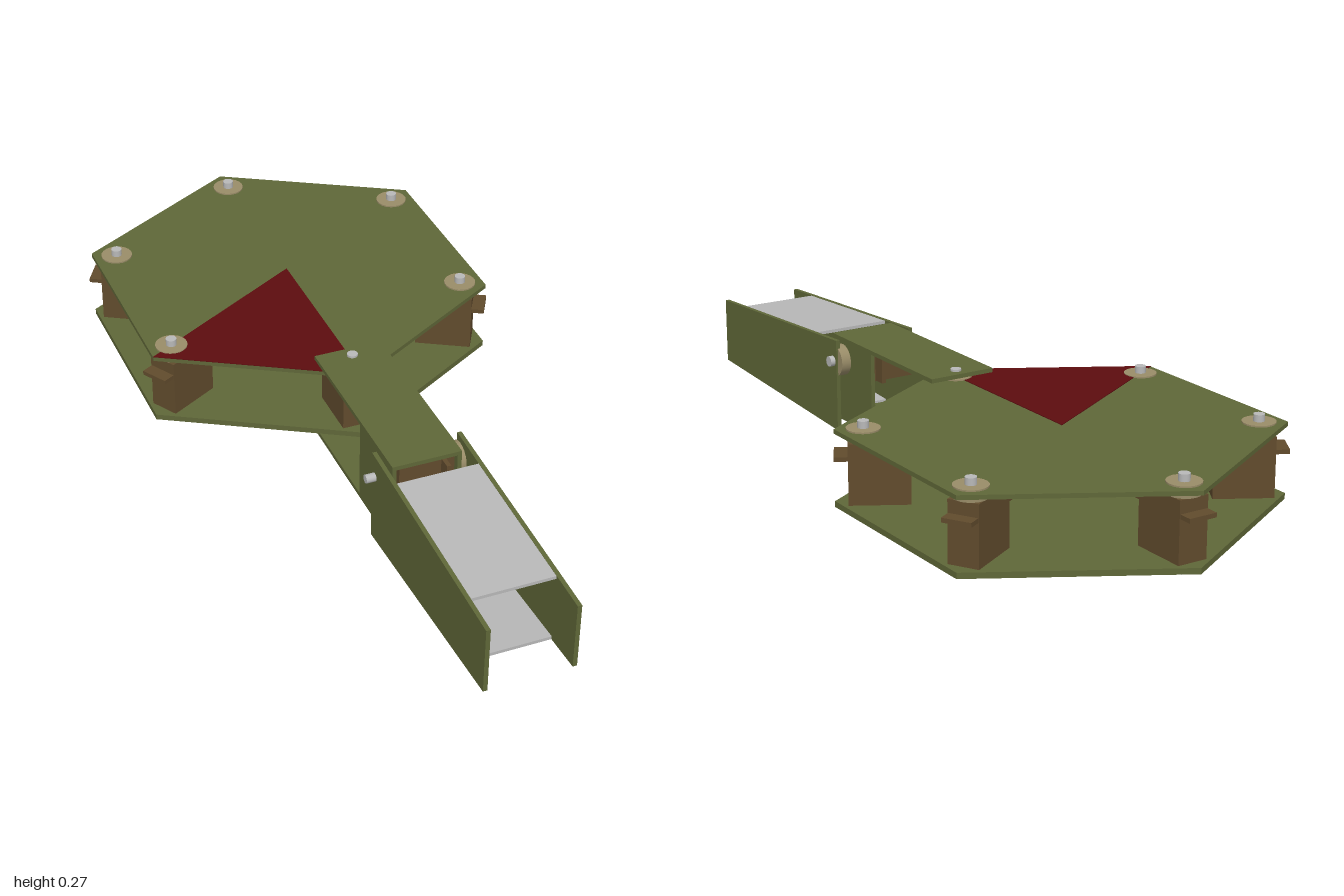
import * as THREE from 'three';

const paint = (name, color, side = THREE.FrontSide) => {
  const m = new THREE.MeshStandardMaterial({ color, side });
  m.name = name;
  return m;
};

export function createModel() {
  const olive = paint('olive', 0x5f6738);
  const red = paint('dark red', 0x5c0d0f);
  const brown = paint('brown', 0x614b2d);
  const tan = paint('tan', 0x998c68);
  const steel = paint('steel', 0xb8b8b8);

  const model = new THREE.Group();
  model.name = 'walkingRobot';

  const add = (parent, name, geometry, material, x = 0, y = 0, z = 0) => {
    const mesh = new THREE.Mesh(geometry, material);
    mesh.name = name;
    mesh.position.set(x, y, z);
    parent.add(mesh);
    return mesh;
  };
  // box given by its limits on each axis
  const box = (parent, name, material, [x0, x1], [y0, y1], [z0, z1]) =>
    add(parent, name, new THREE.BoxGeometry(x1 - x0, y1 - y0, z1 - z0), material,
      (x0 + x1) / 2, (y0 + y1) / 2, (z0 + z1) / 2);
  const rod = (parent, name, material, r, y0, y1) =>
    add(parent, name, new THREE.CylinderGeometry(r, r, y1 - y0, 20), material, 0, (y0 + y1) / 2, 0);

  // servo: output axis along +y at the origin, body trailing towards -x
  const makeServo = (name, tail) => {
    const s = new THREE.Group();
    s.name = name;
    box(s, 'servoBody', brown, [-0.12, 0.04], [0, 0.165], [-0.042, 0.042]);
    box(s, 'servoEars', brown, [-0.155, 0.076], [0.118, 0.13], [-0.04, 0.04]);
    rod(s, 'servoHorn', tan, 0.045, 0.165, 0.196);
    rod(s, 'hornScrew', steel, 0.015, 0.19, 0.215);
    rod(s, 'pivotBolt', steel, 0.012, -tail, 0);
    return s;
  };

  // hexagonal body
  const body = new THREE.Group();
  body.name = 'body';
  body.position.set(-0.18, 0, -0.475);
  model.add(body);
  const R = 0.58;
  for (const [name, y0, y1] of [['bottomPlate', 0.042, 0.058], ['topPlate', 0.24, 0.252]]) {
    const geo = new THREE.CylinderGeometry(R, R, y1 - y0, 6, 1, false, Math.PI / 2).toNonIndexed();
    geo.computeVertexNormals();
    add(body, name, geo, olive, 0, (y0 + y1) / 2, 0);
  }

  // red front sector
  const sector = new THREE.Shape([[0, 0], [-R / 2, -R * 0.866], [R / 2, -R * 0.866]]
    .map(([x, y]) => new THREE.Vector2(x, y)));
  const sectorGeo = new THREE.ExtrudeGeometry(sector, { depth: 0.002, bevelEnabled: false });
  sectorGeo.rotateX(-Math.PI / 2);
  add(body, 'frontMarker', sectorGeo, red, 0, 0.252, 0);

  // six hip servos, one in each corner
  for (let i = 0; i < 6; i++) {
    const a = i * Math.PI / 3;
    const s = makeServo('hipServo', 0.04);
    s.position.set(0.505 * Math.cos(a), 0.06, 0.505 * Math.sin(a));
    s.rotation.y = -a;
    body.add(s);
  }

  // leg: local +x points outwards, origin on the hip axis
  const leg = new THREE.Group();
  leg.name = 'leg';
  leg.position.set(0.0725, 0, -0.038);
  leg.rotation.y = -Math.PI / 3;
  model.add(leg);

  // hip bracket
  const w = 0.0975;
  box(leg, 'hipTopPlate', olive, [-0.034, 0.508], [0.257, 0.269], [-w, w]);
  box(leg, 'hipBottomPlate', olive, [-0.034, 0.508], [0.02, 0.032], [-w, w]);
  for (const s of [-1, 1]) {
    const z = [s * w, s * (w - 0.012)].sort((a, b) => a - b);
    box(leg, 'hipSidePlate', olive, [0.292, 0.508], [0.032, 0.257], z);
  }

  // knee servo lying on its side
  const knee = makeServo('kneeServo', 0.078);
  knee.position.set(0.45, 0.205, 0.07);
  knee.rotation.x = -Math.PI / 2;
  leg.add(knee);

  // tapered side plates of the outer leg
  const midY = 0.135, u0 = 0.43, u1 = 1.126, h0 = 0.134, h1 = 0.096;
  const side = new THREE.Shape([[u0, midY - h0], [u1, midY - h1], [u1, midY + h1], [u0, midY + h0]]
    .map(([x, y]) => new THREE.Vector2(x, y)));
  const sideGeo = new THREE.ExtrudeGeometry(side, { depth: 0.012, bevelEnabled: false });
  add(leg, 'outerLegPlate', sideGeo, olive, 0, 0, -0.131);
  add(leg, 'outerLegPlate', sideGeo, olive, 0, 0, 0.109);

  // sloping upper and lower panels between them
  const half = u => h0 + (h1 - h0) * (u - u0) / (u1 - u0) - 0.001;
  for (const s of [1, -1]) {
    const a = 0.563, b = 1.012, t = 0.009;
    const panel = new THREE.Shape([
      [a, midY + s * half(a)], [b, midY + s * half(b)],
      [b, midY + s * (half(b) - t)], [a, midY + s * (half(a) - t)],
    ].map(([x, y]) => new THREE.Vector2(x, y)));
    add(leg, s > 0 ? 'upperPanel' : 'lowerPanel',
      new THREE.ExtrudeGeometry(panel, { depth: 0.228, bevelEnabled: false }), steel, 0, 0, -0.119);
  }

  return model;
}
